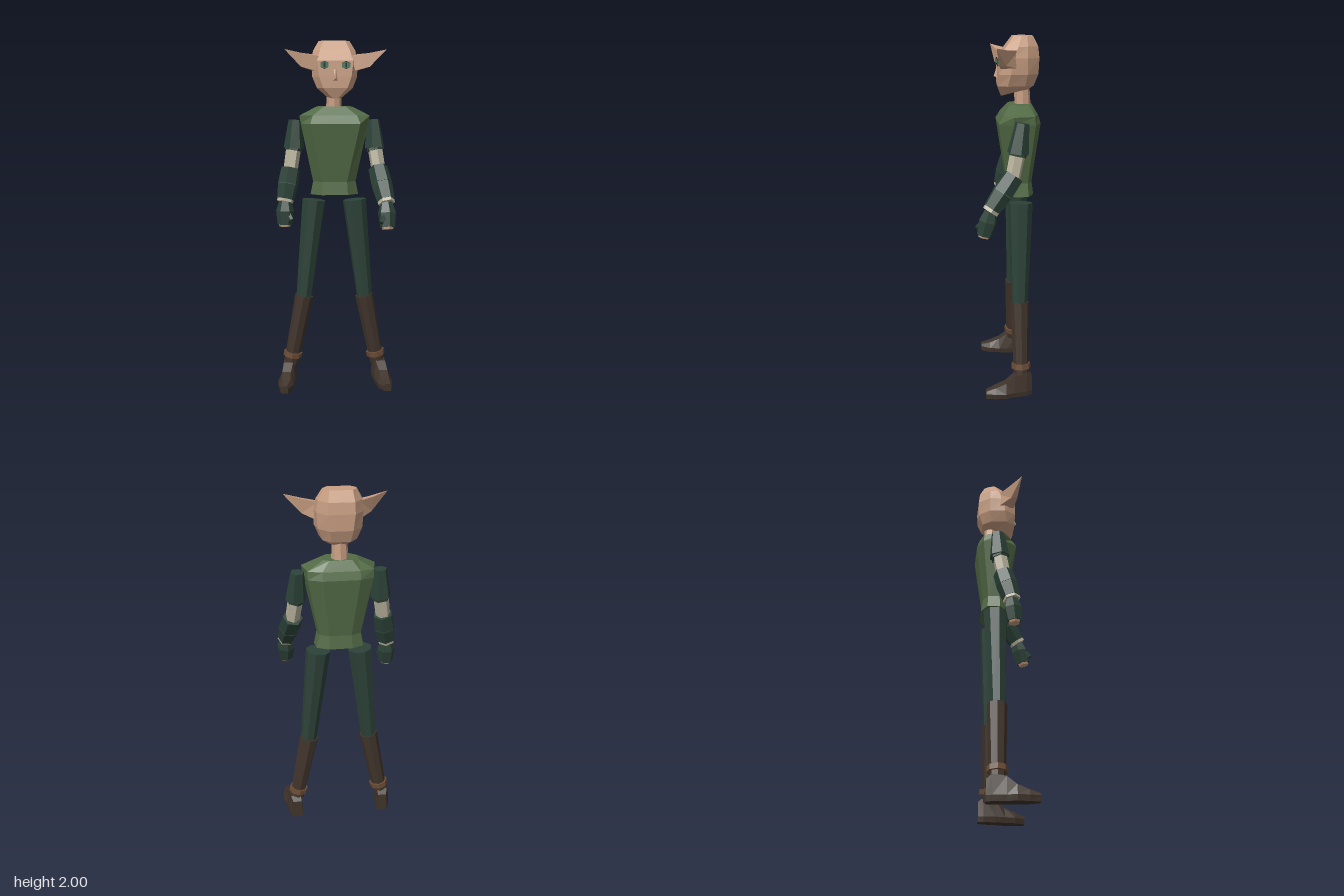
import * as THREE from 'three';

const material = (name, color) => {
  const m = new THREE.MeshStandardMaterial({ color });
  m.name = name;
  return m;
};

// Closed, faceted surface through rings of points, turned outward by its signed volume
function loft(name, mat, rings) {
  const tris = [];
  const n = rings[0].length;
  const centre = r => [0, 1, 2].map(k => r.reduce((s, p) => s + p[k], 0) / n);
  for (let i = 0; i < rings.length - 1; i++) {
    for (let j = 0; j < n; j++) {
      const k = (j + 1) % n;
      const a = rings[i][j], b = rings[i][k], c = rings[i + 1][k], d = rings[i + 1][j];
      tris.push([a, b, c], [a, c, d]);
    }
  }
  const first = rings[0], last = rings[rings.length - 1];
  for (let j = 0; j < n; j++) {
    const k = (j + 1) % n;
    tris.push([first[k], first[j], centre(first)], [last[j], last[k], centre(last)]);
  }
  const v = p => new THREE.Vector3(...p);
  const mid = v(centre(first));
  const volume = tris.reduce((s, [a, b, c]) =>
    s + v(a).sub(mid).dot(v(b).sub(mid).cross(v(c).sub(mid))), 0);
  if (volume < 0) tris.forEach(t => t.reverse());
  const geo = new THREE.BufferGeometry();
  geo.setAttribute('position', new THREE.Float32BufferAttribute(tris.flat(2), 3));
  geo.computeVertexNormals();
  const mesh = new THREE.Mesh(geo, mat);
  mesh.name = name;
  return mesh;
}

// Ring at height y from its +x half, listed front to back as [x, z]
const mirrored = (y, half) => [
  ...half.map(([x, z, dy = 0]) => [x, y + dy, z]),
  ...[...half].reverse().map(([x, z, dy = 0]) => [-x, y + dy, z]),
];

// Tapered faceted prism between two points
function prism(name, mat, a, b, ra, rb, sides = 6) {
  const from = new THREE.Vector3(...a), to = new THREE.Vector3(...b);
  const axis = to.clone().sub(from);
  const geo = new THREE.CylinderGeometry(rb, ra, axis.length(), sides).toNonIndexed();
  geo.computeVertexNormals();
  const mesh = new THREE.Mesh(geo, mat);
  mesh.quaternion.setFromUnitVectors(new THREE.Vector3(0, 1, 0), axis.normalize());
  mesh.position.copy(from).add(to).multiplyScalar(0.5);
  mesh.name = name;
  return mesh;
}

function box(name, mat, size, pos) {
  const mesh = new THREE.Mesh(new THREE.BoxGeometry(...size), mat);
  mesh.position.set(...pos);
  mesh.name = name;
  return mesh;
}

const lerp = (a, b, t) => a.map((v, i) => v + (b[i] - v) * t);

export function createModel() {
  const skin = material('skin', 0xc89e82);
  const tunic = material('tunic green', 0x536b46);
  const cloth = material('dark green cloth', 0x2c4238);
  const trim = material('trim green', 0x48644f);
  const linen = material('linen', 0xb8b29c);
  const leather = material('boot leather', 0x40342b);
  const strap = material('strap brown', 0x6b4c36);
  const iris = material('eye green', 0x467a60);
  const pupil = material('pupil', 0x1d2824);

  const model = new THREE.Group();
  model.name = 'figure';

  // Torso
  model.add(loft('tunic', tunic, [
    mirrored(1.135, [[0.075, 0.006], [0.138, -0.05], [0.13, -0.12], [0.065, -0.152]]),
    mirrored(1.21, [[0.07, -0.002], [0.123, -0.05], [0.115, -0.115], [0.06, -0.142]]),
    mirrored(1.54, [[0.14, 0.046], [0.192, -0.03], [0.175, -0.15], [0.1, -0.184]]),
    mirrored(1.585, [[0.125, 0.02], [0.2, -0.03], [0.175, -0.145], [0.1, -0.17]]),
    mirrored(1.637, [[0.06, -0.02], [0.1, -0.06], [0.09, -0.12], [0.06, -0.14]]),
  ]));

  // Neck and head
  model.add(prism('neck', skin, [0, 1.62, -0.095], [0, 1.74, -0.09], 0.045, 0.042, 8));
  const head = new THREE.Group();
  head.name = 'head';
  head.add(loft('skull', skin, [
    mirrored(1.68, [[0.015, 0.025], [0.045, 0, 0.01], [0.05, -0.08, 0.03], [0.03, -0.12, 0.035]]),
    mirrored(1.737, [[0.068, 0.045], [0.1, -0.005], [0.09, -0.1], [0.05, -0.15]]),
    mirrored(1.8, [[0.09, 0.045], [0.126, -0.02], [0.115, -0.11], [0.06, -0.174]]),
    mirrored(1.885, [[0.1, 0.042], [0.13, -0.03], [0.122, -0.11], [0.07, -0.177]]),
    mirrored(1.945, [[0.083, 0], [0.12, -0.06], [0.113, -0.11], [0.068, -0.17]]),
    mirrored(2, [[0.06, -0.04], [0.088, -0.08], [0.083, -0.11], [0.06, -0.143]]),
  ]));
  head.add(loft('nose', skin, [
    [[-0.015, 1.778, 0.043], [0.015, 1.778, 0.043], [0, 1.785, 0.064]],
    [[-0.01, 1.838, 0.043], [0.01, 1.838, 0.043], [0, 1.838, 0.047]],
  ]));
  for (const s of [1, -1]) {
    head.add(loft('ear', skin, [
      [[s * 0.09, 1.91, 0.03], [s * 0.11, 1.925, -0.06], [s * 0.115, 1.832, -0.06], [s * 0.11, 1.832, 0.035]],
      [[s * 0.18, 1.925, 0.045], [s * 0.19, 1.93, -0.002], [s * 0.185, 1.852, 0.01], [s * 0.19, 1.852, 0.048]],
      Array(4).fill([s * 0.28, 1.945, 0.066]),
    ]));
    // Eye outline, iris and pupil as thin plates
    const lid = prism('eyeLid', pupil, [s * 0.06, 1.862, 0.042], [s * 0.06, 1.862, 0.0465], 0.022, 0.022, 6);
    lid.scale.x = 1.2;
    const eye = prism('iris', iris, [s * 0.06, 1.861, 0.043], [s * 0.06, 1.861, 0.048], 0.019, 0.019, 6);
    eye.scale.x = 1.4;
    head.add(lid, eye, box('pupil', pupil, [0.009, 0.028, 0.004], [s * 0.06, 1.861, 0.048]));
  }
  model.add(head);

  // Arms: the left one reaches further forward
  const arms = [
    { s: 1, name: 'leftArm', z: [-0.072, -0.048, -0.02, 0.1, 0.14] },
    { s: -1, name: 'rightArm', z: [-0.072, -0.062, -0.042, 0, 0.015] },
  ];
  for (const { s, name, z } of arms) {
    const arm = new THREE.Group();
    arm.name = name;
    const shoulder = [s * 0.223, 1.56, z[0]], cuff = [s * 0.232, 1.4, z[1]];
    const elbow = [s * 0.252, 1.275, z[2]], wrist = [s * 0.284, 1.105, z[3]];
    const fist = [s * 0.288, 0.957, z[4]];
    const fore = t => lerp(elbow, wrist, t);
    const hand = t => lerp(wrist, fist, t);
    arm.add(
      prism('sleeve', cloth, shoulder, cuff, 0.038, 0.059),
      prism('sleeveHem', cloth, cuff, lerp(cuff, elbow, 0.12), 0.05, 0.05),
      prism('undersleeve', linen, lerp(shoulder, cuff, 0.9), elbow, 0.043, 0.041),
      prism('bracerTop', cloth, fore(-0.06), fore(0.45), 0.056, 0.06),
      prism('bracerBand', trim, fore(0.4), fore(0.52), 0.057, 0.057),
      prism('bracer', cloth, fore(0.47), fore(0.95), 0.06, 0.05),
      prism('wristWrap', linen, fore(0.92), fore(1.04), 0.048, 0.048),
      prism('gloveWrist', cloth, hand(0), hand(0.4), 0.034, 0.051),
      prism('gloveFist', cloth, hand(0.4), hand(0.92), 0.051, 0.041),
      prism('fingers', skin, hand(0.9), hand(1), 0.036, 0.03),
      prism('thumb', cloth, lerp(hand(0.3), hand(0.3), 0),
        [s * 0.247, 1.0, z[4] + 0.035], 0.025, 0.012, 5),
    );
    model.add(arm);
  }

  // Legs, boots and shoes
  for (const s of [1, -1]) {
    const leg = new THREE.Group();
    leg.name = s > 0 ? 'leftLeg' : 'rightLeg';
    const knee = [s * 0.178, 0.53, -0.067], ankle = [s * 0.26, 0.11, -0.07];
    leg.add(
      prism('trouserLeg', cloth, [s * 0.118, 1.1, -0.075], [s * 0.181, 0.515, -0.067], 0.069, 0.046, 8),
      prism('bootShaft', leather, knee, ankle, 0.054, 0.042, 8),
      prism('ankleStrap', strap, lerp(knee, ankle, 0.83), lerp(knee, ankle, 0.9), 0.055, 0.055, 8),
    );
    // Shoe sections from heel to toe: centre x, z, sole half-width, top half-width, top height
    const sections = [
      [0.262, -0.13, 0.032, 0.025, 0.11], [0.268, -0.1, 0.042, 0.03, 0.135],
      [0.276, -0.03, 0.046, 0.028, 0.125], [0.287, 0.02, 0.05, 0.025, 0.085],
      [0.29, 0.08, 0.044, 0.024, 0.06], [0.3, 0.134, 0.022, 0.015, 0.042],
    ];
    leg.add(loft('shoe', leather, sections.map(([x, z, w, t, h]) => [
      [x - w * 0.9, 0], [x + w * 0.9, 0], [x + w, 0.03], [x + t, h], [x - t, h], [x - w, 0.03],
    ].map(([px, py]) => [s * px, py, z]))));
    model.add(leg);
  }
  return model;
}
